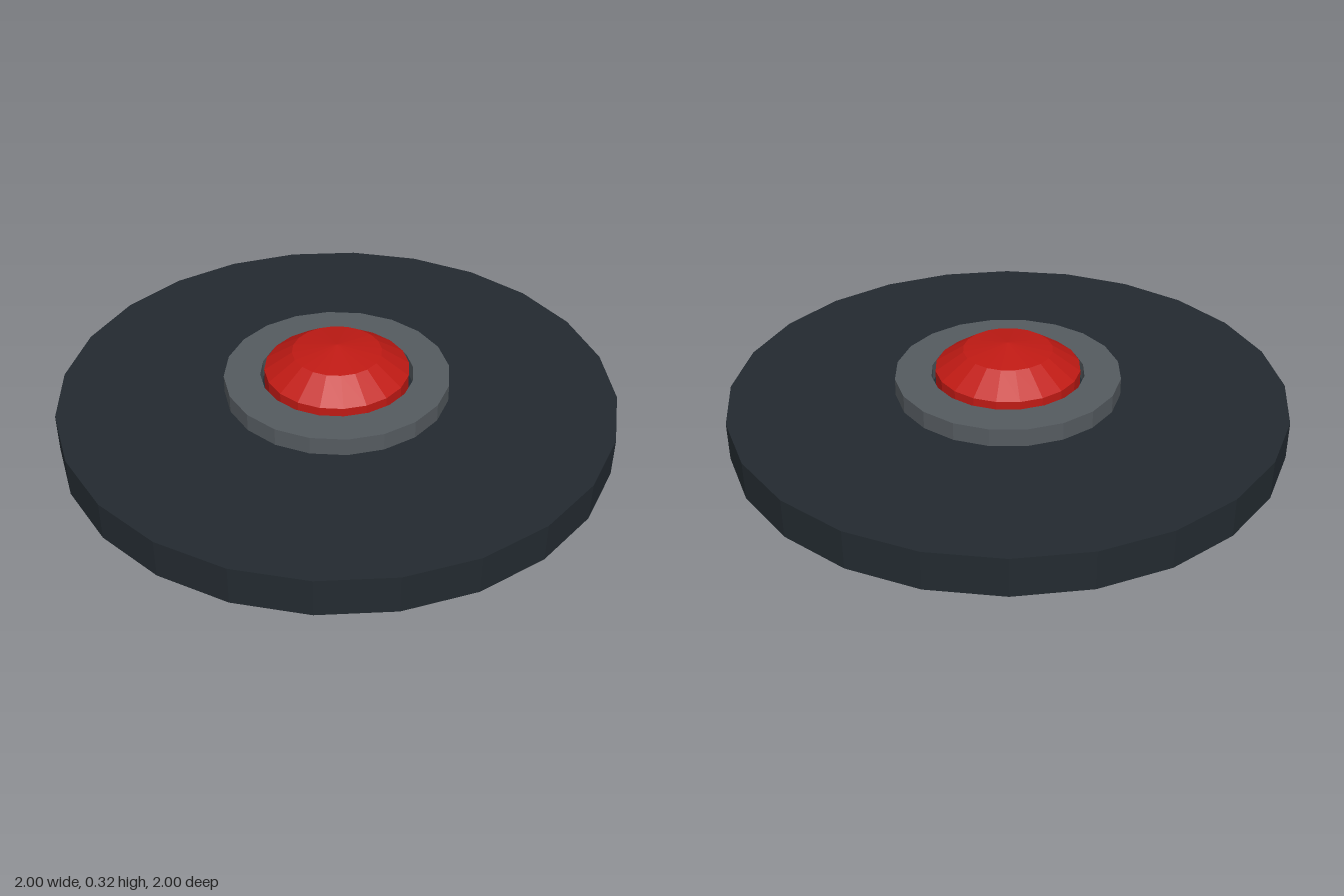
import * as THREE from 'three';

const material = (color) =>
  new THREE.MeshStandardMaterial({ color, flatShading: true });

// Turned part from [radius, height] pairs, listed bottom to top on the outside
function turned(name, profile, sides, color) {
  const points = profile.map(([r, y]) => new THREE.Vector2(r, y));
  const mesh = new THREE.Mesh(new THREE.LatheGeometry(points, sides), material(color));
  mesh.name = name;
  return mesh;
}

export function createModel() {
  const group = new THREE.Group();
  group.name = 'pushButton';

  // Wide flat disc
  const base = new THREE.Mesh(new THREE.CylinderGeometry(1, 1, 0.14, 24), material(0x232a30));
  base.name = 'baseDisc';
  base.position.y = 0.07;
  group.add(base);

  // Raised collar, open in the middle
  group.add(turned('collar',
    [[0.405, 0.14], [0.405, 0.205], [0.275, 0.205], [0.275, 0.14]], 20, 0x555b60));

  // Domed cap with a short vertical skirt, clear of the collar
  group.add(turned('buttonCap',
    [[0.26, 0.14], [0.26, 0.225], [0.16, 0.293], [0, 0.318]], 20, 0xc01a14));

  return group;
}
